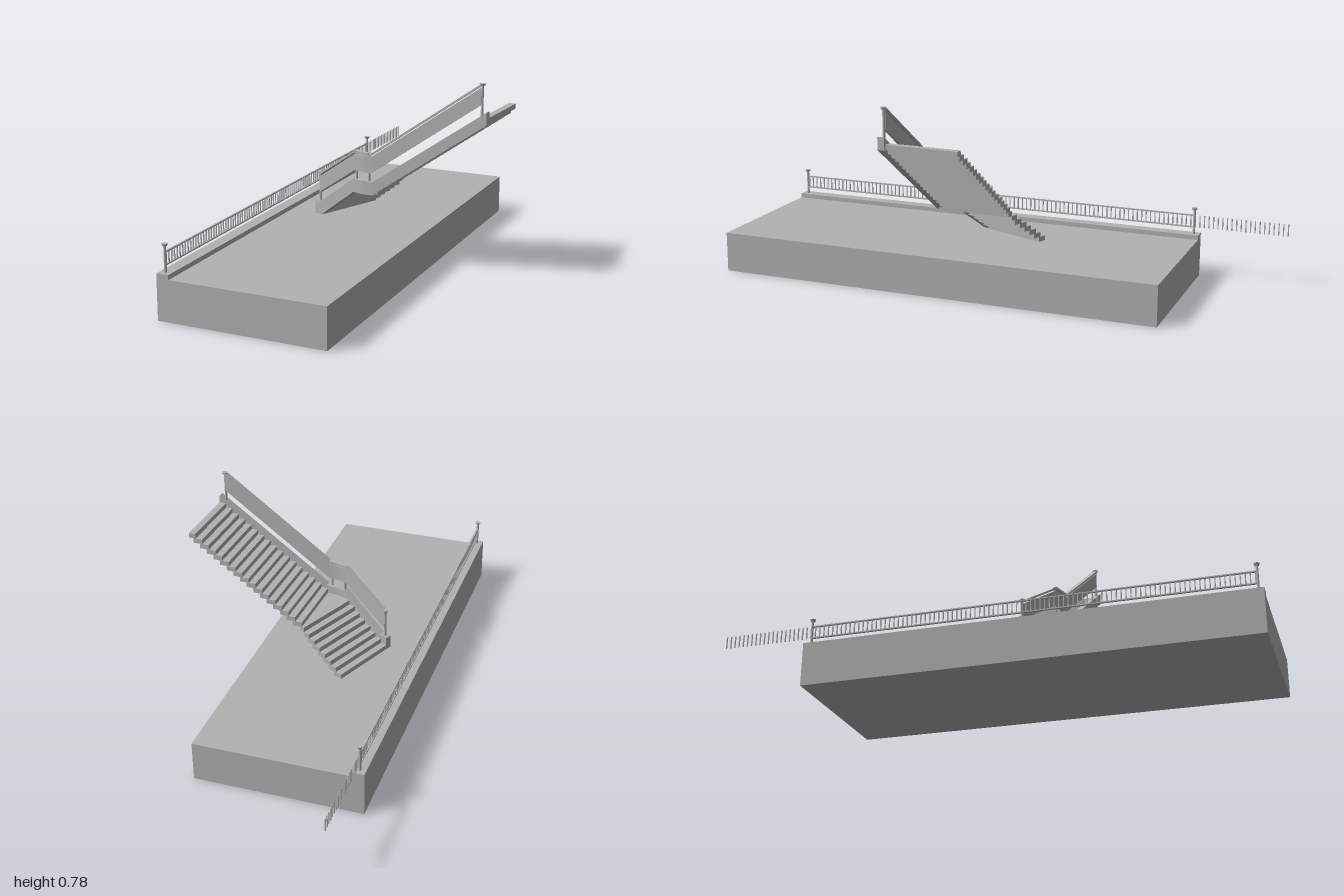
import * as THREE from 'three';

const grey = new THREE.MeshStandardMaterial({ color: 0xb2b2b2 });
grey.name = 'concrete grey';

function add(parent, name, geometry, x = 0, y = 0, z = 0) {
  const mesh = new THREE.Mesh(geometry, grey);
  mesh.name = name;
  mesh.position.set(x, y, z);
  parent.add(mesh);
  return mesh;
}

// Upright band swept along stations [x, z, low y, high y]
function band(stations, thickness) {
  const rings = stations.map(([x, z, lo, hi], i) => {
    const a = stations[Math.max(i - 1, 0)];
    const b = stations[Math.min(i + 1, stations.length - 1)];
    const n = new THREE.Vector2(a[1] - b[1], b[0] - a[0]).setLength(thickness / 2);
    return [
      [x + n.x, lo, z + n.y], [x + n.x, hi, z + n.y],
      [x - n.x, hi, z - n.y], [x - n.x, lo, z - n.y],
    ];
  });
  const pos = [];
  const quad = (a, b, c, d) => pos.push(...a, ...b, ...c, ...a, ...c, ...d);
  for (let i = 0; i < rings.length - 1; i++) {
    for (let k = 0; k < 4; k++) {
      const m = (k + 1) % 4;
      quad(rings[i][k], rings[i + 1][k], rings[i + 1][m], rings[i][m]);
    }
  }
  quad(...rings[0]);
  quad(...[...rings[rings.length - 1]].reverse());
  const geometry = new THREE.BufferGeometry();
  geometry.setAttribute('position', new THREE.Float32BufferAttribute(pos, 3));
  geometry.computeVertexNormals();
  return geometry;
}

// Round post with a flared cap
function post(parent, name, x, y0, y1, z) {
  const g = new THREE.Group();
  g.name = name;
  g.position.set(x, y0, z);
  parent.add(g);
  const h = y1 - y0;
  add(g, 'postShaft', new THREE.CylinderGeometry(0.005, 0.005, h, 12), 0, h / 2, 0);
  add(g, 'postCap', new THREE.CylinderGeometry(0.012, 0.009, 0.008, 12), 0, h - 0.004, 0);
}

const RISER = 0.0196, TREAD = 0.0278, WIDTH = 0.285, BASE = 0.16;

// Straight run of overlapping step blocks climbing along local +x
function flight(parent, name, count, x, y, z, turn) {
  const g = new THREE.Group();
  g.name = name;
  g.position.set(x, y, z);
  g.rotation.y = turn;
  parent.add(g);
  const depth = TREAD * 1.35;
  for (let i = 0; i < count; i++) {
    const d = i === count - 1 ? TREAD : depth;
    add(g, 'step', new THREE.BoxGeometry(d, RISER, WIDTH), i * TREAD + d / 2, (i + 0.5) * RISER, WIDTH / 2);
  }
}

export function createModel() {
  const model = new THREE.Group();
  model.name = 'platformWithStairs';

  // Platform, turned in plan
  const platform = new THREE.Group();
  platform.name = 'platform';
  platform.position.set(0.055, 0, 0.0375);
  platform.rotation.y = Math.PI / 8;
  model.add(platform);
  add(platform, 'slab', new THREE.BoxGeometry(0.666, BASE, 1.8), 0, BASE / 2, 0);
  add(platform, 'curb', new THREE.BoxGeometry(0.049, 0.018, 1.8), -0.3085, BASE + 0.009, 0);

  // Edge railing: posts, rails, and balusters that run on past the far post
  const railX = -0.309;
  for (const z of [-0.877, 0.877]) post(platform, 'railingPost', railX, 0.178, 0.285, z);
  for (const y of [0.206, 0.254]) {
    add(platform, 'railingRail', new THREE.BoxGeometry(0.008, 0.005, 1.754), railX, y, 0);
  }
  const bars = 115;
  for (let i = 0; i <= bars; i++) {
    const z = -1.25 + (i / bars) * 2.12;
    add(platform, 'baluster', new THREE.BoxGeometry(0.004, 0.05, 0.004), railX, 0.23, z);
  }

  // Stairs: lower flight, wedge landing, angled upper flight
  const stairs = new THREE.Group();
  stairs.name = 'stairs';
  model.add(stairs);
  const turn = 0.352, landingX = -0.125 + 7 * TREAD, landingY = BASE + 7 * RISER;
  flight(stairs, 'lowerFlight', 7, -0.125, BASE, -0.25, 0);
  flight(stairs, 'upperFlight', 17, 0.08, landingY + RISER, -0.25, turn);
  const landing = new THREE.Shape([
    new THREE.Vector2(landingX, 0.25),
    new THREE.Vector2(0.09, 0.25),
    new THREE.Vector2(0.2, -0.02),
    new THREE.Vector2(0.14, -0.035),
    new THREE.Vector2(landingX, -0.035),
  ]);
  const landingGeometry = new THREE.ExtrudeGeometry(landing, { depth: RISER, bevelEnabled: false });
  landingGeometry.rotateX(-Math.PI / 2);
  add(stairs, 'landing', landingGeometry, 0, landingY, 0);

  // Outer stringer
  add(stairs, 'stringer', band([
    [-0.125, 0.042, BASE, 0.213], [-0.09, 0.042, BASE, 0.218],
    [0.1, 0.042, 0.295, 0.35], [0.145, 0.039, 0.295, 0.35],
    [0.187, 0.028, 0.297, 0.35], [0.63, -0.13, 0.628, 0.677],
  ], 0.028));

  // Balustrade panel and handrail follow the same bend
  const bend = [
    [-0.11, 0.042, 0.315], [0.1, 0.042, 0.449], [0.145, 0.039, 0.449],
    [0.178, 0.031, 0.449], [0.605, -0.121, 0.767],
  ];
  add(stairs, 'balustradePanel', band(bend.map(([x, z, y]) => [x, z, y - 0.066, y]), 0.012));
  add(stairs, 'handrail', band(bend.map(([x, z, y]) => [x, z, y + 0.005, y + 0.014]), 0.02));
  post(stairs, 'startPost', -0.108, 0.2, 0.334, 0.042);
  post(stairs, 'lowerLandingPost', 0.106, 0.34, 0.463, 0.042);
  post(stairs, 'upperLandingPost', 0.168, 0.34, 0.463, 0.034);
  post(stairs, 'endPost', 0.607, 0.645, 0.782, -0.122);

  return model;
}
